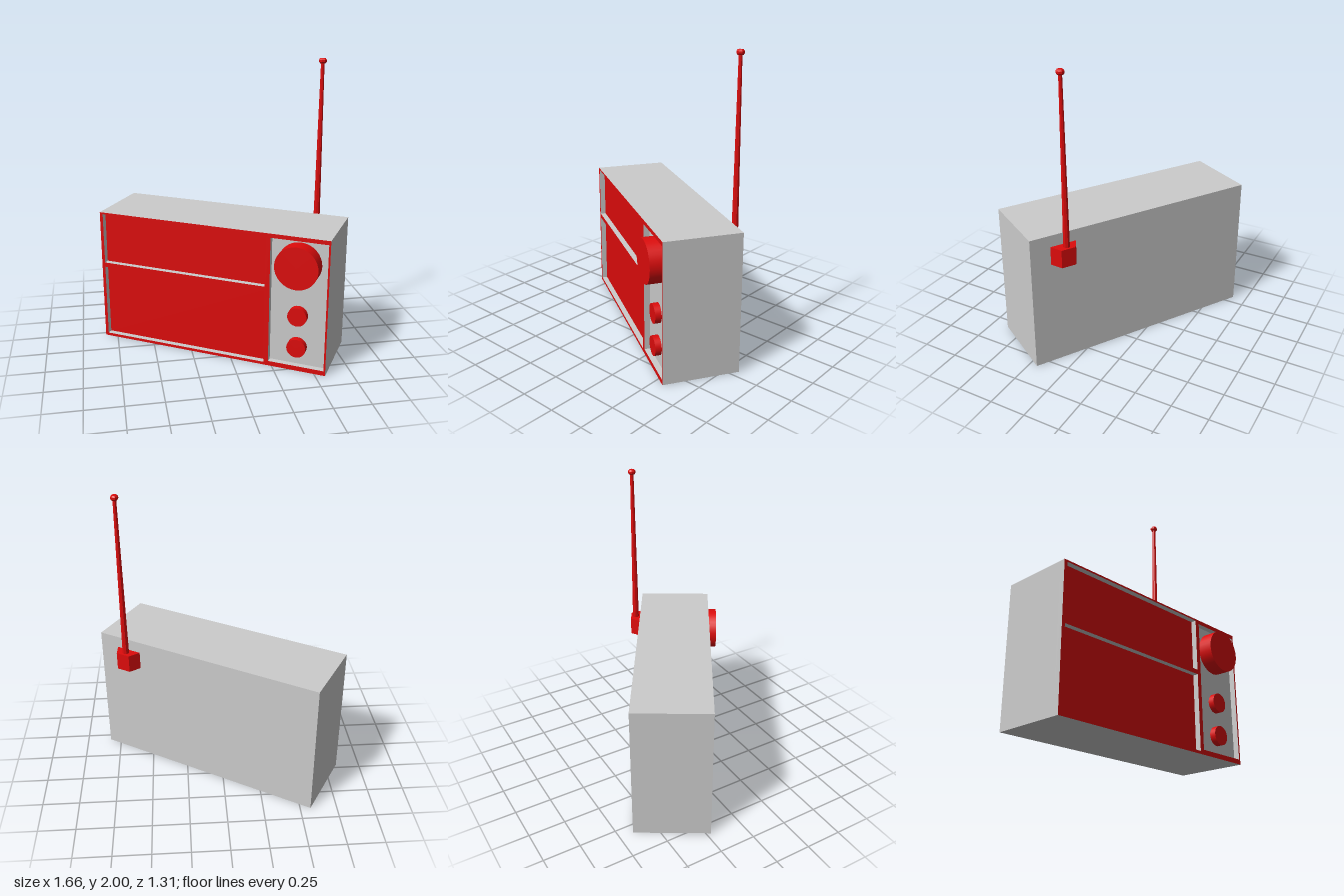
import * as THREE from 'three';

const W = 1.638, H = 0.945, D = 0.509, RECESS = 0.04;
const FRONT = D / 2, FLOOR = FRONT - RECESS;

const grey = new THREE.MeshStandardMaterial({ color: 0xcccccc });
const red = new THREE.MeshStandardMaterial({ color: 0xdd0c0c });
const redFlat = new THREE.MeshStandardMaterial({ color: 0xdd0c0c, flatShading: true });

function polygon(points, Type = THREE.Shape) {
  return new Type(points.map(([x, y]) => new THREE.Vector2(x, y)));
}

function rect(x0, x1, y0, y1, Type) {
  return polygon([[x0, y0], [x1, y0], [x1, y1], [x0, y1]], Type);
}

export function createModel() {
  const model = new THREE.Group();
  model.name = 'radio';

  function add(name, geometry, material, x = 0, y = 0, z = 0) {
    const mesh = new THREE.Mesh(geometry, material);
    mesh.name = name;
    mesh.position.set(x, y, z);
    model.add(mesh);
    return mesh;
  }

  // Case: its front is the floor of the recesses
  add('case', new THREE.BoxGeometry(W, H, D - RECESS), grey, 0, H / 2, -RECESS / 2);

  // Front frame: red face, grey walls around three openings
  const openings = {
    upperPanel: [-0.797, 0.392, 0.572, 0.933],
    lowerPanel: [-0.797, 0.392, 0.02, 0.54],
    controlPanel: [0.425, 0.807, 0.033, 0.917],
  };
  const face = rect(-W / 2, W / 2, 0, H);
  for (const o of Object.values(openings)) face.holes.push(rect(...o, THREE.Path));
  const frame = new THREE.ExtrudeGeometry(face, { depth: RECESS, bevelEnabled: false });
  add('frontFrame', frame, [red, grey], 0, 0, FLOOR);

  // Red panels at the back of the two wide openings
  for (const name of ['upperPanel', 'lowerPanel']) {
    const [x0, x1, y0, y1] = openings[name];
    add(name, new THREE.PlaneGeometry(x1 - x0, y1 - y0), red,
      (x0 + x1) / 2, (y0 + y1) / 2, FLOOR + 0.002);
  }

  // Knobs: [name, height, radius, length]
  const knobs = [
    ['tuningKnob', 0.752, 0.145, 0.1],
    ['upperKnob', 0.39, 0.065, 0.042],
    ['lowerKnob', 0.163, 0.065, 0.042],
  ];
  for (const [name, y, r, length] of knobs) {
    const knob = new THREE.CylinderGeometry(r, r, length, 32).rotateX(Math.PI / 2);
    add(name, knob, red, 0.615, y, FLOOR + length / 2);
  }

  // Tapered antenna bracket on the back
  const bracket = polygon([[0.502, 0.2545], [0.681, 0.2545], [0.641, 0.331], [0.543, 0.331]]);
  const bracketGeometry = new THREE.ExtrudeGeometry(bracket, { depth: 0.125, bevelEnabled: false })
    .rotateX(-Math.PI / 2);
  add('antennaBracket', bracketGeometry, redFlat, 0, 0.74, 0);

  // Slender antenna with a small tip
  const profile = [[0, 0.8], [0.023, 0.8], [0.012, 1.967], [0.019, 1.967],
    [0.026, 1.977], [0.026, 1.99], [0.018, 2], [0, 2]];
  const antenna = new THREE.LatheGeometry(profile.map(([r, y]) => new THREE.Vector2(r, y)), 8);
  add('antenna', antenna, redFlat, 0.589, 0, -0.296);

  // The whole radio stands turned to its right
  model.rotation.y = -0.546;
  model.position.set(-0.0025, 0, -0.0125);
  const root = new THREE.Group();
  root.add(model);
  return root;
}
